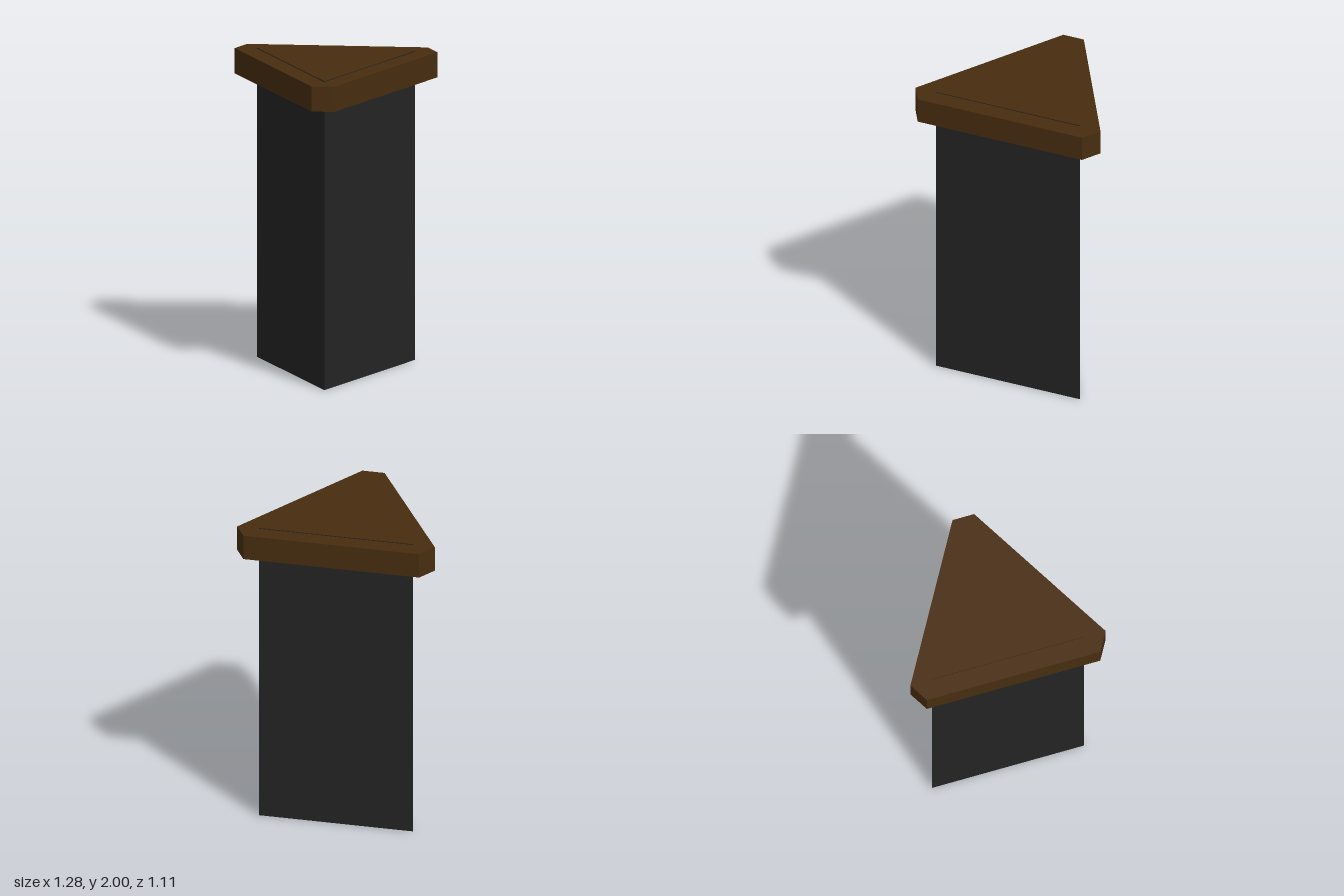
import * as THREE from 'three';

export function createModel() {
  const group = new THREE.Group();
  const black = new THREE.MeshStandardMaterial({ name: 'charcoal', color: 0x242424, flatShading: true });
  const brown = new THREE.MeshStandardMaterial({ name: 'dark wood', color: 0x482d10, flatShading: true });

  // Triangular column, one corner to the front, with a wooden top face
  const radius = 1 / Math.sqrt(3);
  const column = new THREE.Mesh(new THREE.CylinderGeometry(radius, radius, 2, 3), [black, brown, black]);
  column.name = 'column';
  column.position.set(0, 1, -radius / 4);
  group.add(column);

  // Collar around the top: a triangle with clipped corners
  const outline = [[-0.072, 0.555], [0.072, 0.555], [0.641, -0.432], [0.57, -0.555], [-0.57, -0.555], [-0.641, -0.432]];
  const shape = new THREE.Shape(outline.map(([x, z]) => new THREE.Vector2(x, -z)));
  const geometry = new THREE.ExtrudeGeometry(shape, { depth: 0.163, bevelEnabled: false });
  geometry.rotateX(-Math.PI / 2);
  const collar = new THREE.Mesh(geometry, brown);
  collar.name = 'collar';
  collar.position.y = 1.832;
  group.add(collar);

  return group;
}
